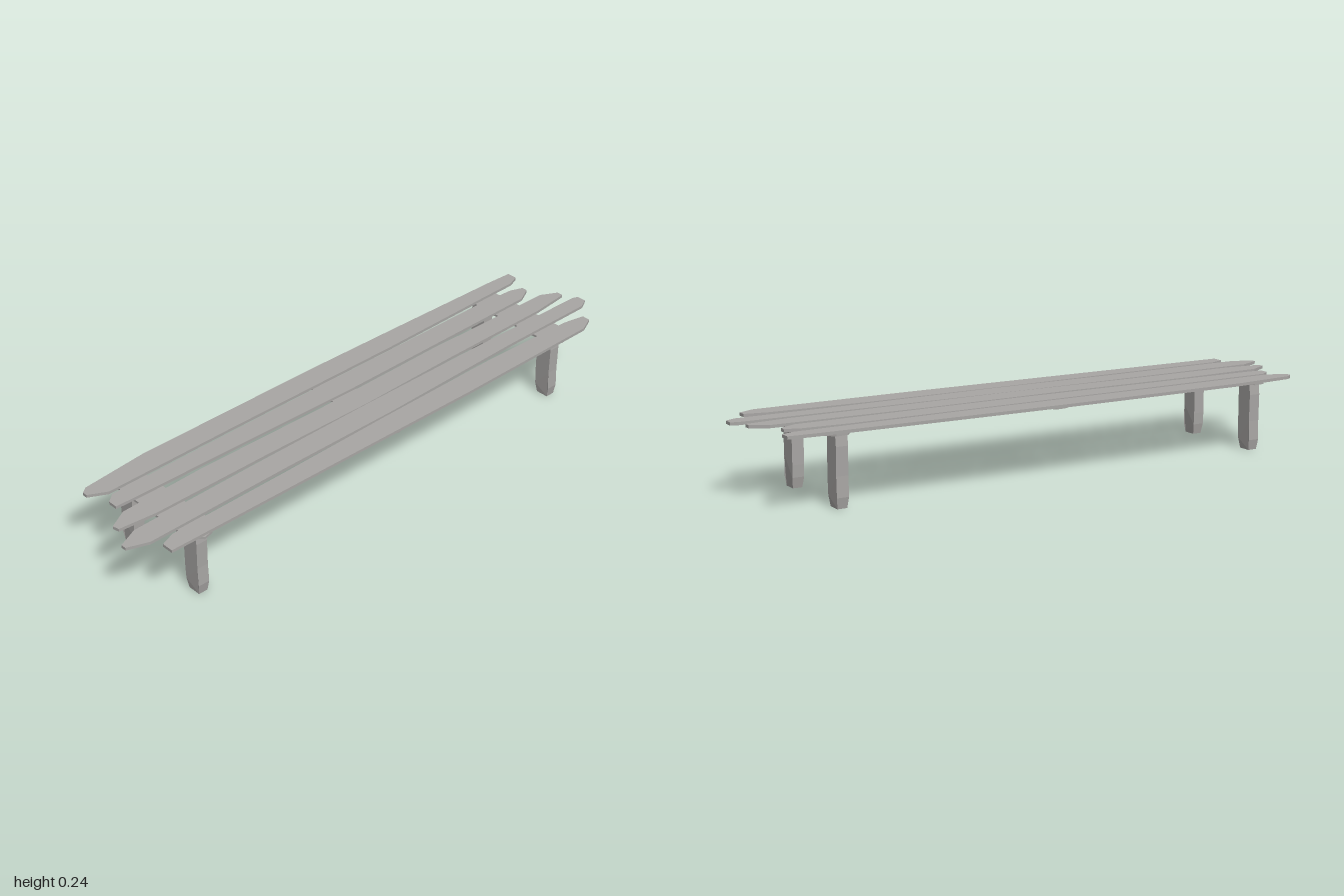
import * as THREE from 'three';

const wood = new THREE.MeshStandardMaterial({ color: 0xa8a6a4 });
wood.name = 'weatheredWood';

// Flat board from an [x, z] outline, lying between two heights
function board(name, outline, bottom, top) {
  const shape = new THREE.Shape(outline.map(([x, z]) => new THREE.Vector2(x, -z)));
  const geo = new THREE.ExtrudeGeometry(shape, { depth: top - bottom, bevelEnabled: false });
  geo.rotateX(-Math.PI / 2).translate(0, bottom, 0);
  const mesh = new THREE.Mesh(geo, wood);
  mesh.name = name;
  return mesh;
}

// Rough-cut plank outlines, each walked from the back left corner round to the front
const planks = [
  [[-0.21, -0.85], [-0.205, -0.94], [-0.17, -0.94], [-0.155, -0.9], [-0.153, -0.75], [-0.145, -0.3],
    [-0.146, 0.4], [-0.143, 0.87], [-0.175, 0.93], [-0.192, 0.93], [-0.207, 0.91], [-0.227, 0.68], [-0.227, 0], [-0.22, -0.4]],
  [[-0.122, -0.86], [-0.105, -0.905], [-0.085, -0.905], [-0.058, -0.85], [-0.055, -0.5], [-0.051, -0.05],
    [-0.06, 0.4], [-0.067, 0.82], [-0.07, 0.9], [-0.103, 0.9], [-0.127, 0.87], [-0.132, 0.3], [-0.133, -0.3], [-0.133, -0.7]],
  [[-0.03, -0.915], [0, -0.97], [0.022, -0.97], [0.035, -0.83], [0.037, -0.4], [0.044, -0.02],
    [0.037, 0.4], [0.036, 0.83], [0.022, 0.96], [0, 0.965], [-0.036, 0.9], [-0.045, 0.6], [-0.037, 0.1], [-0.042, -0.4]],
  [[0.06, -0.98], [0.068, -1], [0.1, -1], [0.117, -0.965], [0.117, -0.6], [0.13, -0.05],
    [0.128, 0.4], [0.132, 0.93], [0.105, 1], [0.087, 1], [0.056, 0.93], [0.05, 0.5], [0.046, 0], [0.05, -0.5]],
  [[0.149, -0.84], [0.165, -0.915], [0.193, -0.915], [0.218, -0.86], [0.221, -0.3], [0.213, 0.3],
    [0.208, 0.7], [0.205, 0.91], [0.165, 0.91], [0.146, 0.86], [0.143, 0.4], [0.137, 0], [0.135, -0.5]],
];

// Cross batten with tapered ends
function batten(z) {
  const w = 0.052;
  return [[-0.21, z - 0.015], [-0.17, z - w], [0.17, z - w], [0.205, z - 0.02],
    [0.213, z + 0.015], [0.175, z + w], [-0.17, z + w], [-0.205, z + 0.025]];
}

// Leg silhouette in x and y, extruded through its depth and narrowed at the foot
function leg(name, x, z, flip) {
  const half = [[-0.024, 0], [0.021, 0], [0.028, 0.035], [0.03, 0.075], [0.03, 0.2], [0.026, 0.228],
    [-0.026, 0.228], [-0.03, 0.19], [-0.028, 0.1], [-0.03, 0.035]];
  const depth = 0.04;
  const shape = new THREE.Shape(half.map(([px, py]) => new THREE.Vector2(px, py)));
  const geo = new THREE.ExtrudeGeometry(shape, { depth, bevelEnabled: false });
  geo.translate(0, 0, -depth / 2);
  const p = geo.attributes.position;
  for (let i = 0; i < p.count; i++) {
    if (p.getY(i) < 0.01) p.setZ(i, p.getZ(i) * 0.8);
  }
  if (flip) geo.rotateY(Math.PI);
  const flat = geo.index ? geo.toNonIndexed() : geo;
  flat.computeVertexNormals();
  const mesh = new THREE.Mesh(flat, wood);
  mesh.name = name;
  mesh.position.set(x, 0, z);
  return mesh;
}

export function createModel() {
  const group = new THREE.Group();
  group.name = 'plankBench';
  planks.forEach((outline, i) => group.add(board('plank' + (i + 1), outline, 0.234, 0.244)));
  [['backBatten', -0.77], ['middleBatten', -0.004], ['frontBatten', 0.78]].forEach(([name, z]) =>
    group.add(board(name, batten(z), 0.227, 0.2345)));
  for (const [end, z] of [['front', 0.783], ['back', -0.757]]) {
    group.add(leg(end + 'RightLeg', -0.156, z, false));
    group.add(leg(end + 'LeftLeg', 0.151, z, true));
  }
  return group;
}
